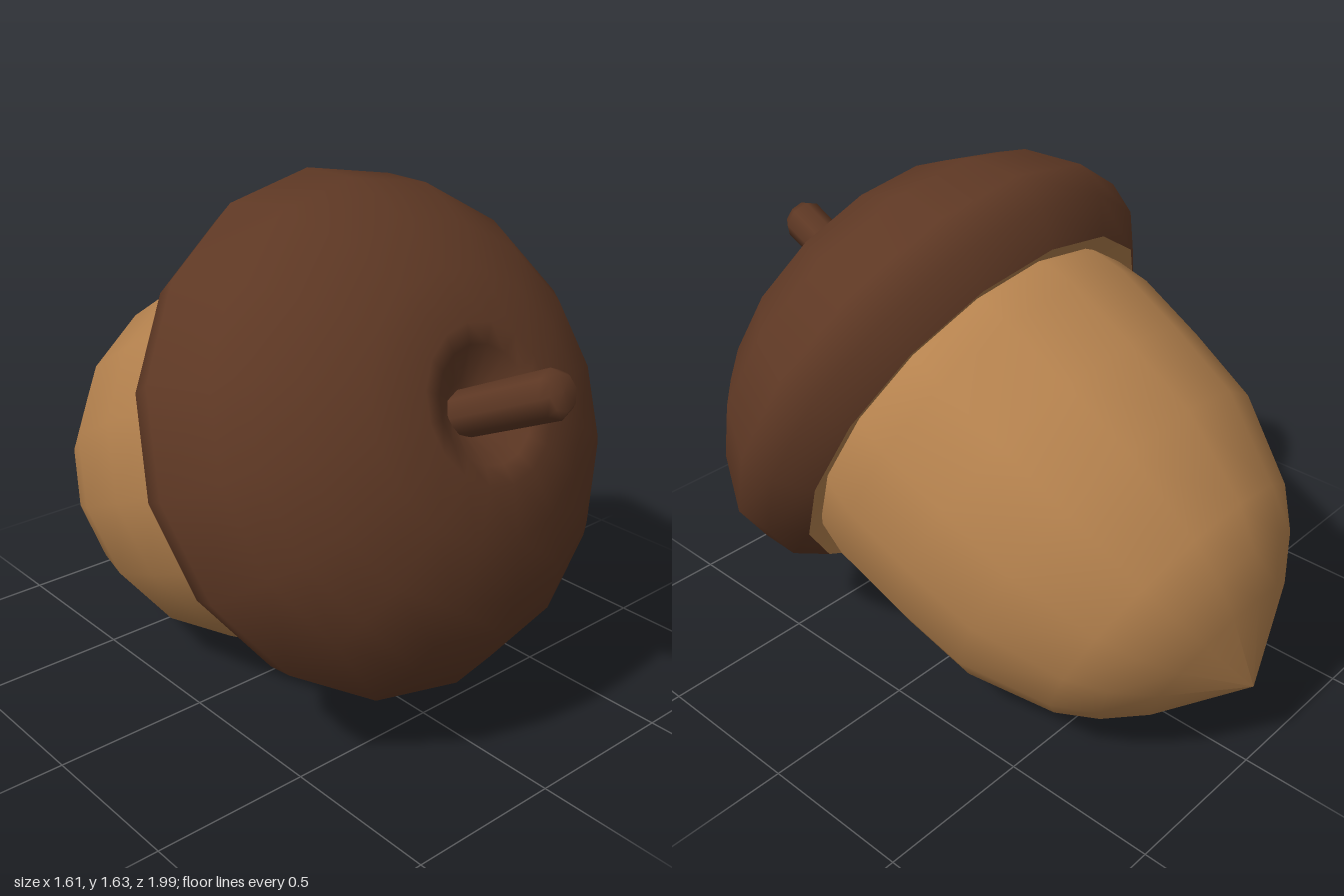
import * as THREE from 'three';

const SEGMENTS = 16;

// Surface of revolution from [radius, height] pairs, listed bottom to top
function lathe(name, points, material, segments = SEGMENTS) {
  const profile = points.map(([r, y]) => new THREE.Vector2(r, y));
  const mesh = new THREE.Mesh(new THREE.LatheGeometry(profile, segments), material);
  mesh.name = name;
  return mesh;
}

export function createModel() {
  const nutTan = new THREE.MeshStandardMaterial({ color: 0xb5824e });
  nutTan.name = 'nut tan';
  const capBrown = new THREE.MeshStandardMaterial({ color: 0x5e3824 });
  capBrown.name = 'cap brown';

  // The acorn is built upright, its cap rim at y = 0, then tipped forward
  const acorn = new THREE.Group();
  acorn.name = 'acorn';

  // Nut body, tapering to a blunt point
  acorn.add(lathe('nut', [
    [0, -1.225], [0.28, -1.075], [0.4, -0.98], [0.49, -0.87],
    [0.607, -0.6], [0.635, -0.35], [0.65, -0.11], [0.635, 0], [0.61, 0.04],
  ], nutTan));

  // Thin tan ledge between nut and cap
  acorn.add(lathe('ledge', [[0.6, 0.03], [0.645, 0.015], [0.688, 0]], nutTan));

  // Domed cap with a dimple around the stem
  acorn.add(lathe('cap', [
    [0.688, 0], [0.775, 0.09], [0.803, 0.2], [0.72, 0.38], [0.65, 0.455],
    [0.555, 0.545], [0.39, 0.632], [0.23, 0.672], [0.17, 0.655], [0.08, 0.58], [0, 0.57],
  ], capBrown));

  // Short stem with a bevelled, slightly slanted end
  const stem = lathe('stem', [
    [0.068, 0.5], [0.07, 0.93], [0.052, 0.955], [0, 0.957],
  ], capBrown, 8);
  const pos = stem.geometry.attributes.position;
  for (let i = 0; i < pos.count; i++) {
    if (pos.getY(i) > 0.9) pos.setY(i, pos.getY(i) - 0.08 * pos.getZ(i));
  }
  stem.position.set(-0.018, 0, 0.01);
  acorn.add(stem);

  acorn.rotation.x = THREE.MathUtils.degToRad(64.5);
  acorn.position.set(0, 0.81, 0.11);

  const model = new THREE.Group();
  model.name = 'acorn model';
  model.add(acorn);
  return model;
}
